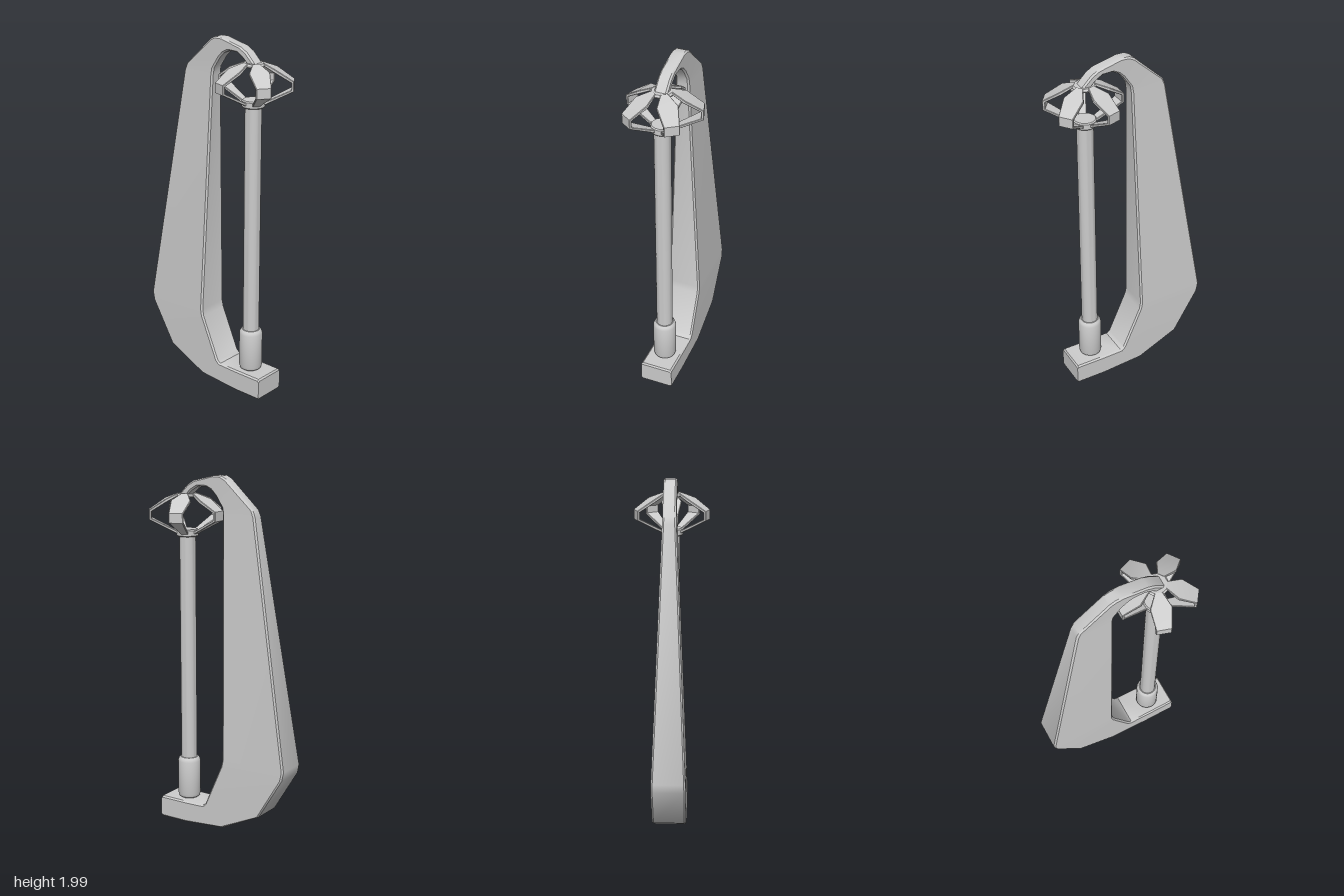
import * as THREE from 'three';
import { toCreasedNormals } from 'three/addons/utils/BufferGeometryUtils.js';

const grey = new THREE.MeshStandardMaterial({ color: 0xcccccc });
const POST_X = 0.24;

// Solid band through sections [outerX, outerY, innerX, innerY], chamfered along its four edges.
// halfWidth(y, index) gives the half depth in z.
function band(sections, halfWidth, c, crease) {
  const rings = sections.map(([ox, oy, ix, iy], n) => {
    const o = new THREE.Vector2(ox, oy), i = new THREE.Vector2(ix, iy);
    const t = Math.min(c / o.distanceTo(i), 0.4);
    const at = (s, side, inset) => {
      const p = o.clone().lerp(i, s);
      return new THREE.Vector3(p.x, p.y, side * (halfWidth(p.y, n) - inset));
    };
    return [at(0, 1, c), at(t, 1, 0), at(1 - t, 1, 0), at(1, 1, c),
      at(1, -1, c), at(1 - t, -1, 0), at(t, -1, 0), at(0, -1, c)];
  });
  const pos = [];
  const tri = (...pts) => pts.forEach((p) => pos.push(p.x, p.y, p.z));
  for (let k = 0; k < rings.length - 1; k++) {
    for (let j = 0; j < 8; j++) {
      const a = rings[k][j], b = rings[k][(j + 1) % 8];
      const d = rings[k + 1][j], e = rings[k + 1][(j + 1) % 8];
      tri(a, b, e);
      tri(a, e, d);
    }
  }
  const first = rings[0], last = rings[rings.length - 1];
  for (let j = 1; j < 7; j++) {
    tri(first[0], first[j + 1], first[j]);
    tri(last[0], last[j], last[j + 1]);
  }
  const geo = new THREE.BufferGeometry();
  geo.setAttribute('position', new THREE.Float32BufferAttribute(pos, 3));
  return toCreasedNormals(geo, crease);
}

function add(parent, name, geo, x = 0, z = 0) {
  const mesh = new THREE.Mesh(geo, grey);
  mesh.name = name;
  mesh.position.set(x, 0, z);
  parent.add(mesh);
  return mesh;
}

// Turned part from [radius, y] points, bottom to top
function turned(points, sides) {
  const geo = new THREE.LatheGeometry(points.map(([r, y]) => new THREE.Vector2(r, y)), sides);
  return toCreasedNormals(geo, 0.6);
}

export function createModel() {
  const model = new THREE.Group();
  model.name = 'lampStand';

  // Curved arm: foot, broad back, then the hooked tip
  const arm = [
    [0.375, 0.012, 0.375, 0.12],
    [0.368, 0.004, 0.368, 0.13],
    [0.2, 0.004, 0.2, 0.13],
    [-0.05, 0.025, 0.085, 0.13],
    [-0.29, 0.14, 0.066, 0.145],
    [-0.435, 0.38, -0.042, 0.39],
    [-0.445, 0.43, -0.05, 0.43],
    [-0.219, 1.79, -0.017, 1.79],
    [-0.205, 1.825, -0.011, 1.83],
    [-0.035, 1.982, 0.03, 1.89],
    [-0.005, 1.997, 0.06, 1.92],
    [0.04, 1.998, 0.095, 1.937],
    [0.175, 1.966, 0.148, 1.935],
    [0.215, 1.943, 0.185, 1.913],
    [0.268, 1.89, 0.225, 1.878],
  ];
  const armWidth = (y) => THREE.MathUtils.mapLinear(THREE.MathUtils.clamp(y, 0.4, 1.83), 0.4, 1.83, 0.094, 0.036);
  add(model, 'arm', band(arm, armWidth, 0.009, 0.6), 0, -0.002);

  // Post with its rounded socket and upper collar
  add(model, 'socket', turned([[0, 0.125], [0.05, 0.13], [0.06, 0.138], [0.065, 0.155],
    [0.065, 0.35], [0.06, 0.366], [0.05, 0.375], [0, 0.377]], 32), POST_X);
  add(model, 'post', turned([[0, 0.36], [0.045, 0.36], [0.045, 1.67], [0, 1.67]], 32), POST_X);
  add(model, 'collar', turned([[0, 1.655], [0.056, 1.655], [0.062, 1.661], [0.062, 1.69],
    [0.056, 1.696], [0, 1.696]], 20), POST_X);

  // Lantern: five bent petals between the collar and a small crown
  const lantern = new THREE.Group();
  lantern.name = 'lantern';
  lantern.position.x = POST_X;
  model.add(lantern);
  const petal = [
    [0.05, 1.893, 0.05, 1.877],
    [0.12, 1.863, 0.112, 1.848],
    [0.21, 1.803, 0.196, 1.795],
    [0.21, 1.75, 0.196, 1.757],
    [0.055, 1.668, 0.055, 1.685],
  ];
  const petalHalf = [0.02, 0.055, 0.04, 0.04, 0.02];
  const petalGeo = band(petal, (y, n) => petalHalf[n], 0.003, 0.3);
  for (let k = 0; k < 5; k++) {
    add(lantern, 'petal', petalGeo).rotation.y = Math.PI * (0.2 + 0.4 * k);
  }
  add(lantern, 'crown', turned([[0, 1.872], [0.06, 1.872], [0.064, 1.88], [0.055, 1.89], [0, 1.89]], 10));

  return model;
}
